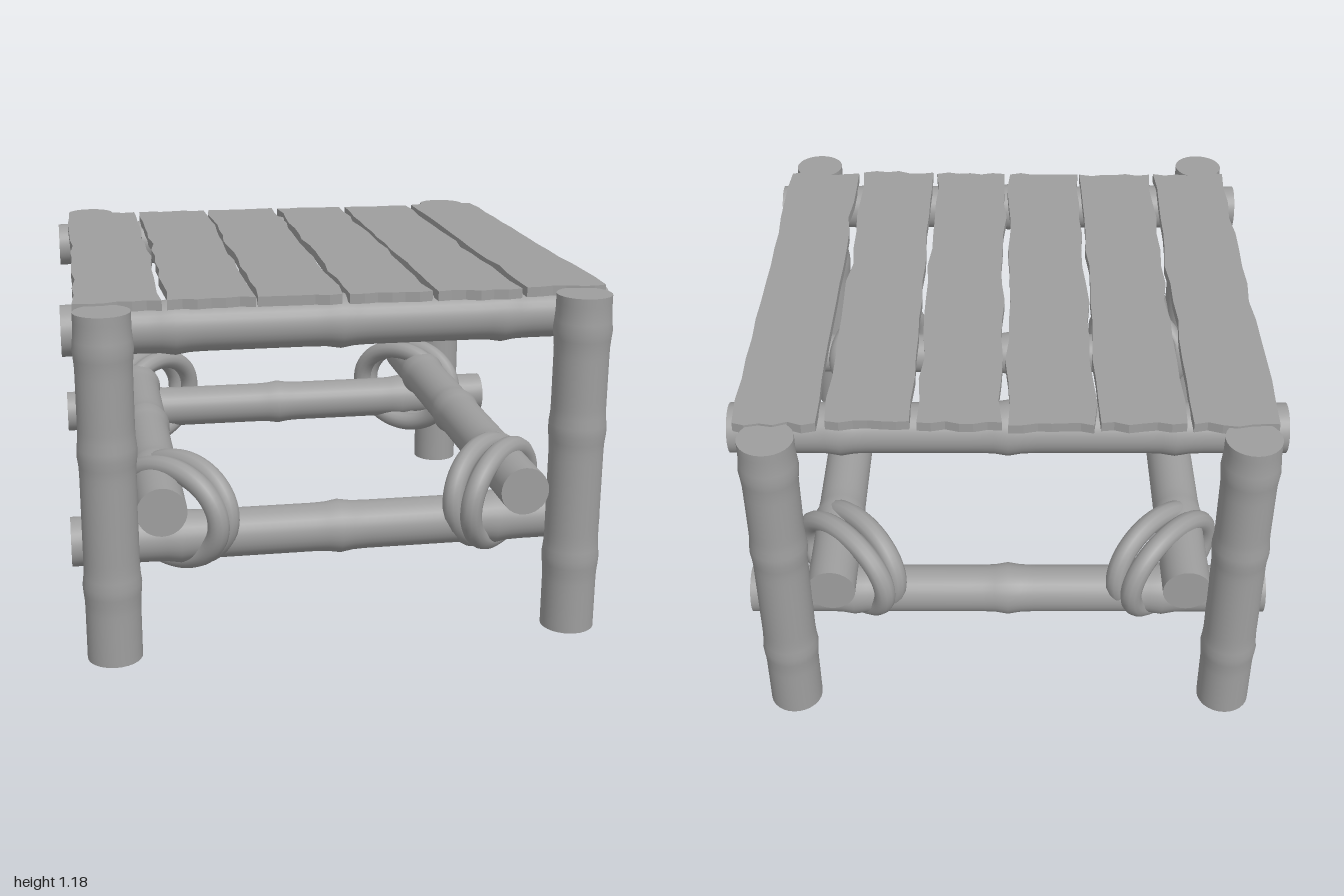
import * as THREE from 'three';
import { toCreasedNormals } from 'three/addons/utils/BufferGeometryUtils.js';

const material = new THREE.MeshStandardMaterial({ color: 0x9e9e9e });

// Small seeded generator for the hand-cut irregularities
function seeded(seed) {
  let s = seed;
  return () => ((s = (s * 16807) % 2147483647) / 2147483647) * 2 - 1;
}

function add(parent, name, geometry) {
  const mesh = new THREE.Mesh(geometry, material);
  mesh.name = name;
  parent.add(mesh);
  return mesh;
}

// Cane pole standing on y = 0, swelling slightly at each node
function poleGeometry(length, radius, nodes, swell) {
  const profile = [new THREE.Vector2(0, 0)];
  const steps = 40;
  for (let i = 0; i <= steps; i++) {
    const y = (length * i) / steps;
    let r = radius;
    for (const n of nodes) r += swell * Math.exp(-(((y - n * length) / 0.035) ** 2));
    profile.push(new THREE.Vector2(r, y));
  }
  profile.push(new THREE.Vector2(0, length));
  return toCreasedNormals(new THREE.LatheGeometry(profile, 28), 0.8);
}

// Board with wavering long edges and roughly cut ends
function plankGeometry(x0, x1, z0, z1, seed) {
  const rnd = seeded(seed);
  const points = [];
  const n = 14;
  const side = (x, from, to) => {
    for (let i = 0; i <= n; i++) {
      const chip = i % 5 === 3 ? 0.014 : 0.005;
      points.push(new THREE.Vector2(x + rnd() * chip, from + ((to - from) * i) / n));
    }
  };
  const end = (z, from, to) => {
    for (let i = 1; i < 6; i++) {
      points.push(new THREE.Vector2(from + ((to - from) * i) / 6, z + rnd() * 0.013));
    }
  };
  side(x0, z1, z0);
  end(z0, x0, x1);
  side(x1, z0, z1);
  end(z1, x1, x0);
  const g = new THREE.ExtrudeGeometry(new THREE.Shape(points), { depth: 0.033, bevelEnabled: false });
  return g.rotateX(Math.PI / 2).translate(0, 1.18, 0);
}

// Oval rope loop lying in its local XY plane
function loopGeometry(a, b, radius) {
  const points = [];
  for (let i = 0; i < 24; i++) {
    const t = (i / 24) * Math.PI * 2;
    points.push(new THREE.Vector3(a * Math.cos(t), b * Math.sin(t), 0));
  }
  return new THREE.TubeGeometry(new THREE.CatmullRomCurve3(points, true), 64, radius, 12, true);
}

export function createModel() {
  const group = new THREE.Group();
  group.name = 'caneTable';

  // Four legs
  const legGeometry = poleGeometry(1.172, 0.091, [0.22, 0.61, 0.9], 0.006);
  const legs = [
    ['frontRightLeg', -0.783, 0.9], ['frontLeftLeg', 0.775, 0.9],
    ['backRightLeg', -0.776, -0.908], ['backLeftLeg', 0.759, -0.908],
  ];
  for (const [name, x, z] of legs) add(group, name, legGeometry).position.set(x, 0, z);

  // Cross rails: a top and a lower one at the front and the back
  const railNodes = [0.2, 0.5, 0.8];
  const crossGeometry = poleGeometry(1.815, 0.083, railNodes, 0.009)
    .translate(0, -0.9075, 0).rotateZ(-Math.PI / 2);
  for (const [end, z] of [['front', 0.738], ['back', -0.727]]) {
    add(group, end + 'TopRail', crossGeometry).position.set(-0.003, 1.074, z);
    add(group, end + 'LowerRail', crossGeometry).position.set(-0.003, 0.348, z);
  }

  // Side rails resting on the lower cross rails
  const sideGeometry = poleGeometry(1.81, 0.083, railNodes, 0.009)
    .translate(0, -0.905, 0).rotateX(Math.PI / 2);
  add(group, 'rightSideRail', sideGeometry).position.set(-0.616, 0.5, 0.007);
  add(group, 'leftSideRail', sideGeometry).position.set(0.602, 0.5, 0.007);

  // Two rope loops wound diagonally over each lower crossing
  const ropeGeometry = loopGeometry(0.208, 0.163, 0.037);
  for (const sx of [-1, 1]) {
    for (const sz of [-1, 1]) {
      const lashing = new THREE.Group();
      lashing.name = (sz > 0 ? 'front' : 'back') + (sx > 0 ? 'Left' : 'Right') + 'Lashing';
      lashing.position.set(sx * 0.555, 0.422, sz > 0 ? 0.685 : -0.655);
      lashing.rotation.y = Math.atan2(sx, sz);
      for (const k of [-1, 1]) {
        const rope = add(lashing, k > 0 ? 'outerRope' : 'innerRope', ropeGeometry);
        rope.position.z = k * 0.031;
        rope.rotation.set(k * 0.07, k * 0.02, 0);
      }
      group.add(lashing);
    }
  }

  // Six boards of the top
  const boards = [
    [-0.868, -0.592, -0.845, 0.82], [-0.57, -0.295, -0.84, 0.815],
    [-0.28, -0.007, -0.852, 0.815], [0.017, 0.287, -0.837, 0.82],
    [0.307, 0.582, -0.83, 0.832], [0.608, 0.878, -0.84, 0.822],
  ];
  boards.forEach(([x0, x1, z0, z1], i) => {
    add(group, 'topBoard' + (i + 1), plankGeometry(x0, x1, z0, z1, 911 + i * 7717));
  });

  return group;
}
